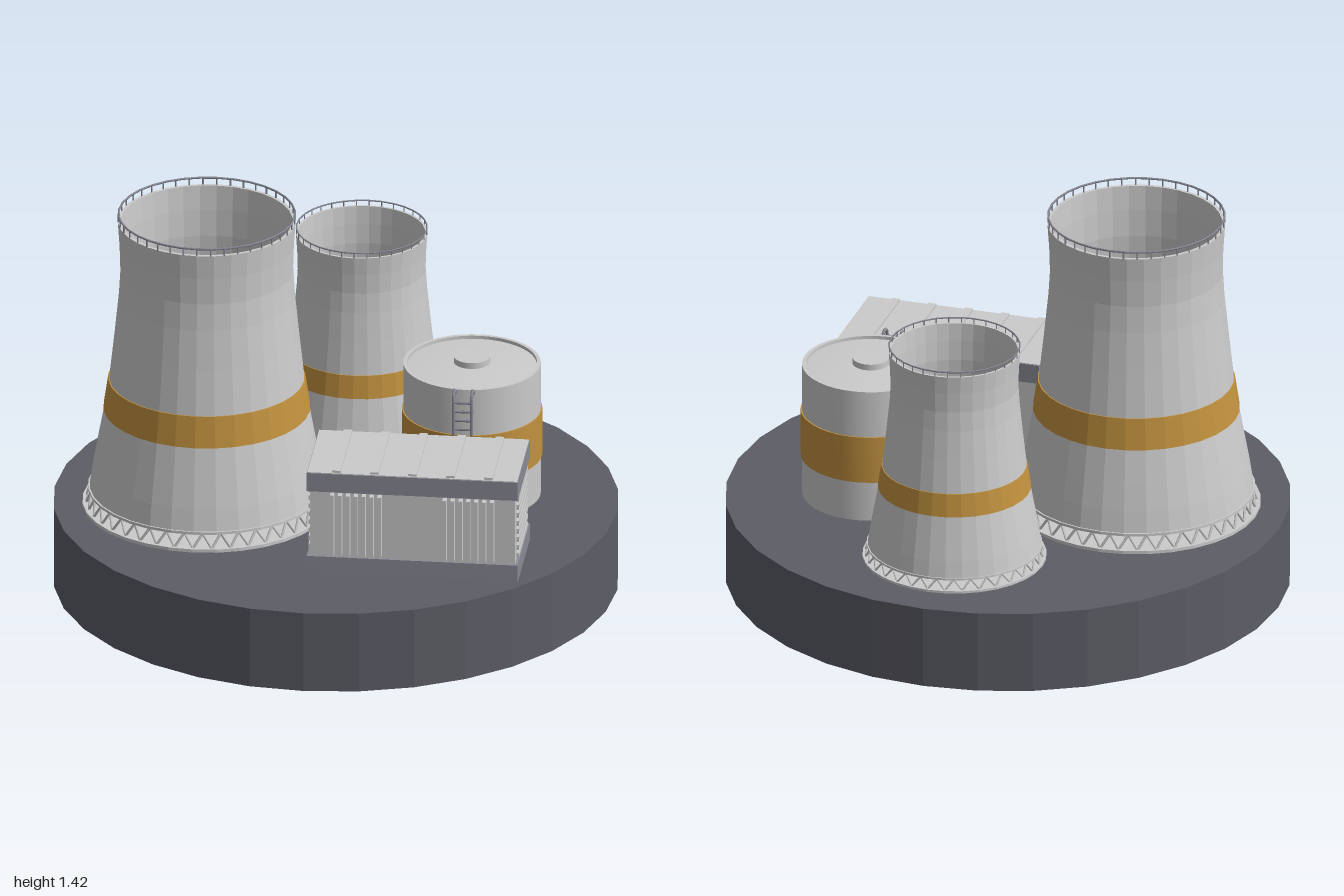
import * as THREE from 'three';
import { mergeGeometries, toCreasedNormals } from 'three/addons/utils/BufferGeometryUtils.js';

const mat = (color, flatShading = false) => new THREE.MeshStandardMaterial({ color, flatShading });
const GREY = mat(0xcccccc), CONCRETE = mat(0xcccccc, true);
const OCHRE = mat(0xc2923f), OCHRE_FLAT = mat(0xc2923f, true);
const TRIM = mat(0x8a8b96), BASE = mat(0x5c5d66, true);
const GROUND = 0.3;

function add(parent, name, geometry, material, x = 0, y = 0, z = 0) {
  const mesh = new THREE.Mesh(geometry, material);
  mesh.name = name;
  mesh.position.set(x, y, z);
  parent.add(mesh);
  return mesh;
}

function group(parent, name, x = 0, y = 0, z = 0) {
  const g = new THREE.Group();
  g.name = name;
  g.position.set(x, y, z);
  parent.add(g);
  return g;
}

const lathe = (pts, sides) => new THREE.LatheGeometry(pts.map(([r, y]) => new THREE.Vector2(r, y)), sides);
const box = (w, h, d, x, y, z) => new THREE.BoxGeometry(w, h, d).translate(x, y, z);
const polar = (r, a, y) => new THREE.Vector3(r * Math.sin(a), y, r * Math.cos(a));

// Straight thin bar between two points
function bar(a, b, r) {
  const dir = b.clone().sub(a);
  const q = new THREE.Quaternion().setFromUnitVectors(new THREE.Vector3(0, 1, 0), dir.clone().normalize());
  const mid = a.clone().add(b).multiplyScalar(0.5);
  return new THREE.CylinderGeometry(r, r, dir.length(), 5).applyQuaternion(q).translate(mid.x, mid.y, mid.z);
}

// Ring of rectangular section
const ring = (inner, outer, y0, y1, sides = 32) =>
  lathe([[inner, y0], [outer, y0], [outer, y1], [inner, y1], [inner, y0]], sides);

function coolingTower(parent, name, x, z, sxz, sy, bays, posts) {
  const g = group(parent, name, x, GROUND, z);
  g.scale.set(sxz, sy, sxz);

  // Basin that also closes the floor
  add(g, 'basin', new THREE.CylinderGeometry(0.44, 0.44, 0.012, 32), CONCRETE, 0, 0.006, 0);

  // Hollow hyperbolic shell
  const outer = [[0.415, 0.065], [0.402, 0.15], [0.384, 0.25], [0.362, 0.37], [0.345, 0.485],
    [0.327, 0.65], [0.312, 0.8], [0.306, 0.9], [0.309, 1.0], [0.315, 1.09]];
  const inner = outer.map(([r, y]) => [r - 0.012, y]).reverse();
  add(g, 'shell', lathe([...outer, ...inner, outer[0]], 32), CONCRETE);
  add(g, 'paintedBand', lathe([[0.36, 0.37], [0.366, 0.37], [0.349, 0.485], [0.343, 0.485]], 32), OCHRE_FLAT);
  add(g, 'shellFootRing', ring(0.402, 0.42, 0.06, 0.07), CONCRETE);

  // Crossed struts around the air inlet
  const struts = [];
  for (let i = 0; i < bays; i++) {
    const a = (i / bays) * Math.PI * 2, b = ((i + 1) / bays) * Math.PI * 2, m = (a + b) / 2;
    struts.push(bar(polar(0.425, a, 0.01), polar(0.412, m, 0.063), 0.005));
    struts.push(bar(polar(0.412, m, 0.063), polar(0.425, b, 0.01), 0.005));
  }
  add(g, 'inletStruts', mergeGeometries(struts), GREY);

  // Rim railing
  const rail = [];
  for (let i = 0; i < posts; i++) {
    const a = (i / posts) * Math.PI * 2;
    rail.push(bar(polar(0.312, a, 1.088), polar(0.312, a, 1.117), 0.003));
  }
  rail.push(new THREE.TorusGeometry(0.312, 0.004, 5, 32).rotateX(Math.PI / 2).translate(0, 1.116, 0));
  add(g, 'rimRailing', mergeGeometries(rail), TRIM);
}

function storageTank(parent) {
  const g = group(parent, 'storageTank', 0.47, GROUND, -0.12);
  const body = lathe([[0, 0], [0.243, 0], [0.243, 0.5], [0.23, 0.5], [0.23, 0.488], [0, 0.508]], 48);
  add(g, 'tankBody', toCreasedNormals(body, 0.5), GREY);
  const band = lathe([[0.24, 0.15], [0.248, 0.15], [0.248, 0.325], [0.24, 0.325]], 48);
  add(g, 'tankBand', toCreasedNormals(band, 0.5), OCHRE);
  add(g, 'tankHatch', new THREE.CylinderGeometry(0.065, 0.065, 0.025, 24), GREY, 0, 0.512, 0);

  // Ladder whose side rails bend over onto the roof
  const parts = [];
  for (const s of [-1, 1]) {
    const x = s * 0.032;
    const path = new THREE.CatmullRomCurve3([[0], [0.25], [0.47], [0.495, 0.29], [0.508, 0.272], [0.502, 0.25], [0.485, 0.24]]
      .map(([y, z = 0.295]) => new THREE.Vector3(x, y, z)));
    parts.push(new THREE.TubeGeometry(path, 32, 0.006, 6));
    for (const y of [0.08, 0.25, 0.42]) {
      parts.push(bar(new THREE.Vector3(x, y, 0.24), new THREE.Vector3(x, y, 0.295), 0.004));
    }
  }
  for (let i = 0; i < 14; i++) {
    const y = 0.03 + i * 0.034;
    parts.push(bar(new THREE.Vector3(-0.032, y, 0.295), new THREE.Vector3(0.032, y, 0.295), 0.005));
  }
  add(g, 'tankLadder', mergeGeometries(parts), TRIM);
}

function plantBuilding(parent) {
  const g = group(parent, 'plantBuilding', 0.345, GROUND, 0.46);
  add(g, 'plinth', box(0.75, 0.065, 0.375, 0, 0.0325, 0), TRIM);
  add(g, 'walls', box(0.73, 0.26, 0.355, 0, 0.19, 0), GREY);
  add(g, 'roofSlab', box(0.75, 0.07, 0.375, 0, 0.35, 0), TRIM);
  add(g, 'roofPanel', box(0.746, 0.004, 0.371, 0, 0.386, 0), GREY);

  // Roof ribs
  const ribs = [];
  for (let i = 0; i < 5; i++) ribs.push(box(0.03, 0.01, 0.36, -0.27 + i * 0.135, 0.391, 0));
  add(g, 'roofRibs', mergeGeometries(ribs), GREY);

  // Two groups of vertical fins on the front
  const fins = [];
  for (const cx of [-0.2, 0.2]) {
    for (let i = 0; i < 7; i++) fins.push(box(0.014, 0.235, 0.028, cx + (i - 3) * 0.028, 0.192, 0.19));
  }
  add(g, 'frontFins', mergeGeometries(fins), GREY);

  // Horizontal louvres on both ends
  const slats = [];
  for (const s of [-1, 1]) {
    for (let i = 0; i < 8; i++) slats.push(box(0.016, 0.018, 0.28, s * 0.366, 0.083 + i * 0.031, 0));
  }
  add(g, 'endLouvres', mergeGeometries(slats), GREY);
}

export function createModel() {
  const model = new THREE.Group();
  model.name = 'powerPlant';
  add(model, 'base', new THREE.CylinderGeometry(1, 1, GROUND, 32), BASE, 0, GROUND / 2, 0);
  coolingTower(model, 'largeCoolingTower', -0.45, 0.08, 1, 1, 40, 40);
  coolingTower(model, 'smallCoolingTower', 0.03, -0.535, 0.74, 0.732, 32, 32);
  storageTank(model);
  plantBuilding(model);
  return model;
}
